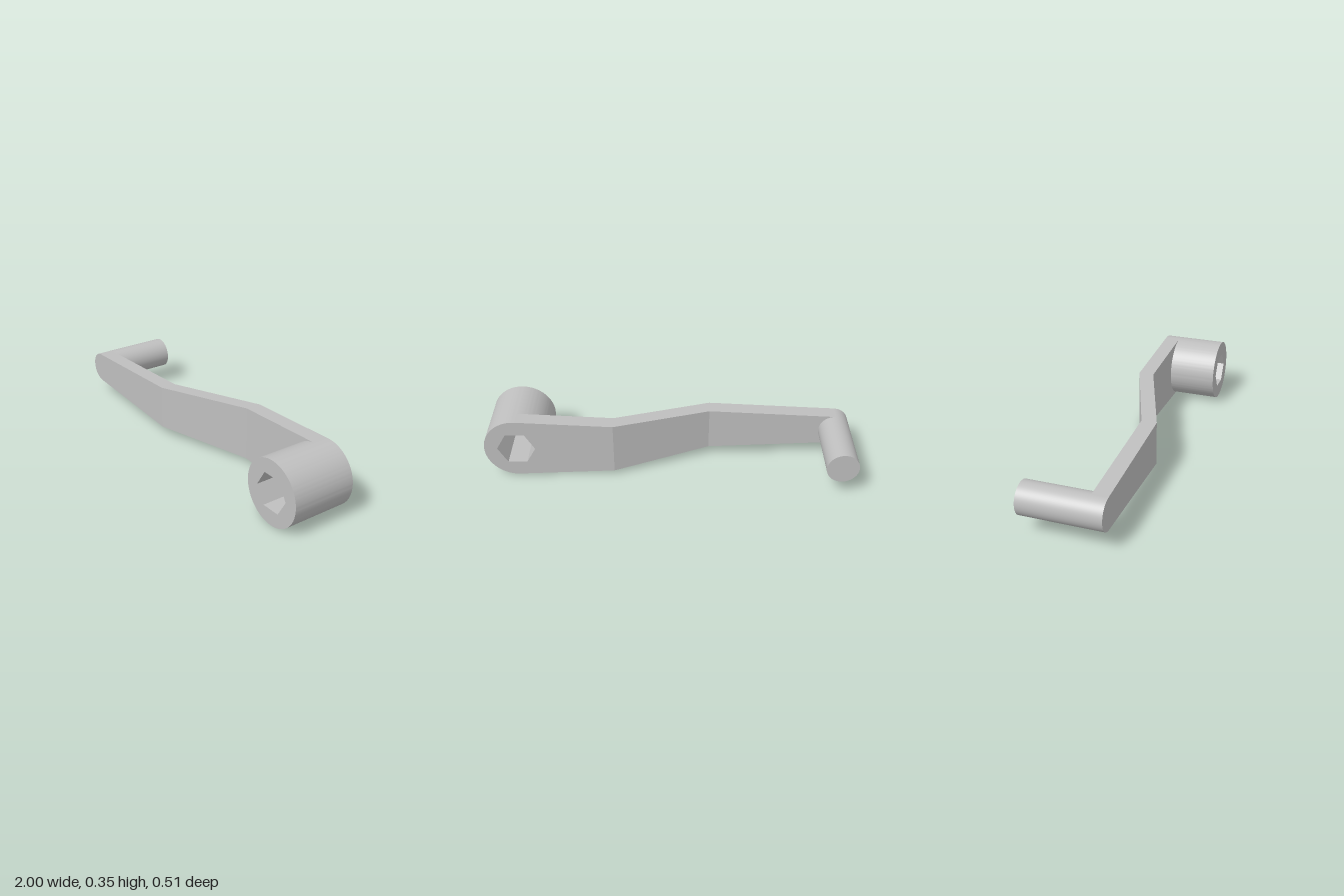
import * as THREE from 'three';
import { toCreasedNormals } from 'three/addons/utils/BufferGeometryUtils.js';

const AXIS_Y = 0.173;
const HANDLE = { x: -0.914, r: 0.086, back: -0.254, front: 0.177 };
const SOCKET = { x: 0.827, r: 0.173, back: -0.095, front: 0.254, hex: 0.103 };
const THICKNESS = 0.083;

// Cranked plate, tangent to both cylinders and ending exactly on their walls
function armGeometry(rows = 32) {
  const s = (SOCKET.r - HANDLE.r) / (SOCKET.x - HANDLE.x);
  const c = Math.sqrt(1 - s * s);
  const phi = Math.PI / 2 + Math.asin(s); // direction of the tangent points
  const halfHeight = (x) => (HANDLE.r + s * (x - HANDLE.x)) / c;
  const onArc = (part, a) => [part.x + part.r * Math.cos(a), part.r * Math.sin(a)];
  const atBend = (x, v) => [x, halfHeight(x) * (1 - 2 * v)];

  // Stations along the arm: outline point for row v, and the z of the back face
  const stations = [
    { at: (v) => onArc(HANDLE, phi - 2 * phi * v), z: HANDLE.front - THICKNESS },
    { at: (v) => atBend(-0.22, v), z: HANDLE.front - THICKNESS },
    { at: (v) => atBend(0.3, v), z: SOCKET.back },
    { at: (v) => onArc(SOCKET, phi + 2 * (Math.PI - phi) * v), z: SOCKET.back },
  ];
  const point = (i, row, front) => {
    const [x, y] = stations[i].at(row / rows);
    return [x, y + AXIS_Y, stations[i].z + (front ? THICKNESS : 0)];
  };

  const positions = [];
  const quad = (a, b, c2, d) => positions.push(...a, ...b, ...c2, ...a, ...c2, ...d);
  for (let i = 0; i < stations.length - 1; i++) {
    for (let r = 0; r < rows; r++) {
      quad(point(i, r, true), point(i, r + 1, true), point(i + 1, r + 1, true), point(i + 1, r, true));
      quad(point(i, r, false), point(i + 1, r, false), point(i + 1, r + 1, false), point(i, r + 1, false));
    }
    // Top and bottom edges
    quad(point(i, 0, true), point(i + 1, 0, true), point(i + 1, 0, false), point(i, 0, false));
    quad(point(i, rows, true), point(i, rows, false), point(i + 1, rows, false), point(i + 1, rows, true));
  }
  const geometry = new THREE.BufferGeometry();
  geometry.setAttribute('position', new THREE.Float32BufferAttribute(positions, 3));
  geometry.computeVertexNormals();
  return geometry;
}

// Round boss with a hexagonal through hole
function socketGeometry() {
  const shape = new THREE.Shape().absarc(0, 0, SOCKET.r, 0, Math.PI * 2, false);
  const corners = [];
  for (let i = 0; i < 6; i++) {
    const a = -i * Math.PI / 3;
    corners.push(new THREE.Vector2(SOCKET.hex * Math.cos(a), SOCKET.hex * Math.sin(a)));
  }
  shape.holes.push(new THREE.Path(corners));
  const geometry = new THREE.ExtrudeGeometry(shape, {
    depth: SOCKET.front - SOCKET.back, bevelEnabled: false, curveSegments: 72,
  });
  return toCreasedNormals(geometry, Math.PI / 6);
}

export function createModel() {
  const model = new THREE.Group();
  model.name = 'crankHandle';
  const metal = new THREE.MeshStandardMaterial({ color: 0xbfbfbf });
  metal.name = 'grey metal';

  const add = (name, geometry, x, y, z) => {
    const mesh = new THREE.Mesh(geometry, metal);
    mesh.name = name;
    mesh.position.set(x, y, z);
    model.add(mesh);
  };

  add('arm', armGeometry(), 0, 0, 0);
  add('hexSocket', socketGeometry(), SOCKET.x, AXIS_Y, SOCKET.back);

  // Grip peg pointing backwards
  const peg = new THREE.CylinderGeometry(HANDLE.r, HANDLE.r, HANDLE.front - HANDLE.back, 72);
  peg.rotateX(Math.PI / 2);
  add('gripPeg', peg, HANDLE.x, AXIS_Y, (HANDLE.front + HANDLE.back) / 2);

  return model;
}
